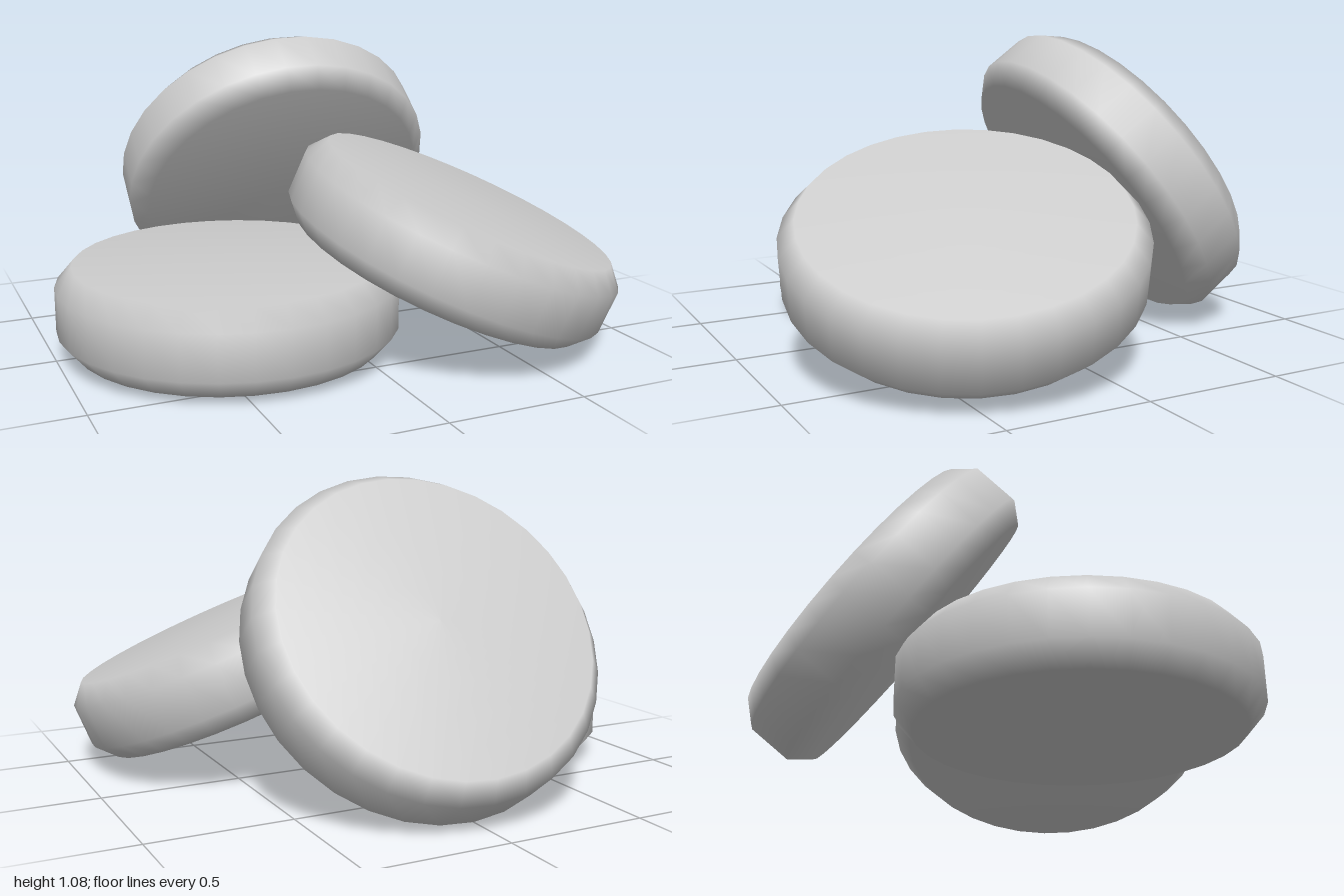
import * as THREE from 'three';

export function createModel() {
  const group = new THREE.Group();
  group.name = 'discPile';
  const material = new THREE.MeshStandardMaterial({ color: 0xcccccc });

  // Thick round disc with a chamfered rim, centred on its own middle
  const profile = [
    [0, -0.15], [0.555, -0.15], [0.615, -0.08],
    [0.615, 0.08], [0.555, 0.15], [0, 0.15],
  ].map(([r, y]) => new THREE.Vector2(r, y));
  const geometry = new THREE.LatheGeometry(profile, 32);

  // Place a disc by its centre and the direction its upper face points
  const up = new THREE.Vector3(0, 1, 0);
  function addDisc(name, centre, normal) {
    const disc = new THREE.Mesh(geometry, material);
    disc.name = name;
    disc.position.set(...centre);
    disc.quaternion.setFromUnitVectors(up, new THREE.Vector3(...normal).normalize());
    group.add(disc);
  }

  addDisc('flatDisc', [-0.385, 0.18, 0.08], [0, 1, 0]);
  addDisc('leaningFrontDisc', [0.395, 0.392, 0.322], [0.35, 0.92, 0.17]);
  addDisc('steepBackDisc', [0.015, 0.545, -0.485], [0.04, 0.595, -0.804]);

  return group;
}
